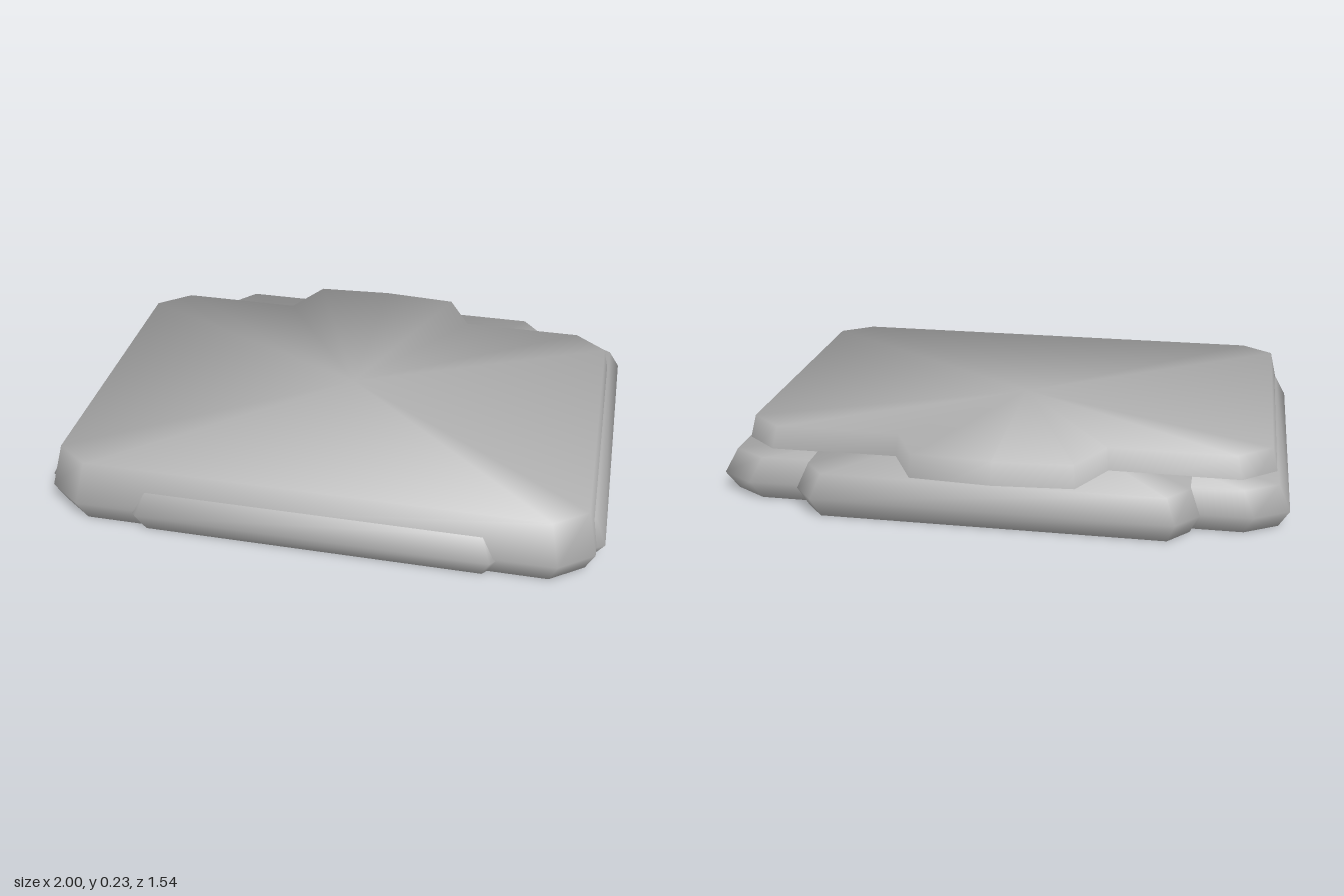
import * as THREE from 'three';

// Right half of an outline, listed front to back as [x, z]; mirrored to close it
function mirrorOutline(half) {
  const left = half.filter(([x]) => x > 0).map(([x, z]) => [-x, z]).reverse();
  return [...half, ...left];
}

// Slab lofted from inset rings [y, inset, normal tilt], softly shaded across its rims
function slab(outline, rings) {
  const n = outline.length;
  const halfX = Math.max(...outline.map((p) => Math.abs(p[0])));
  const halfZ = Math.max(...outline.map((p) => Math.abs(p[1])));
  const edge = (i) => {
    const a = outline[(i + n) % n], b = outline[(i + 1) % n];
    return new THREE.Vector2(a[1] - b[1], b[0] - a[0]).normalize();
  };
  const positions = [], normals = [], index = [];
  for (const [y, inset, tilt] of rings) {
    outline.forEach(([x, z], i) => {
      const out = edge(i - 1).add(edge(i)).normalize();
      positions.push(x * (1 - inset / halfX), y, z * (1 - inset / halfZ));
      normals.push(out.x * Math.cos(tilt), Math.sin(tilt), out.y * Math.cos(tilt));
    });
  }
  // Centres of the bottom and top caps
  const last = rings.length - 1, bottom = n * rings.length, top = bottom + 1;
  positions.push(0, rings[0][0], 0, 0, rings[last][0], 0);
  normals.push(0, -1, 0, 0, 1, 0);
  for (let i = 0; i < n; i++) {
    const j = (i + 1) % n;
    for (let r = 0; r < last; r++) {
      const a = r * n + i, b = r * n + j;
      index.push(a, b, b + n, a, b + n, a + n);
    }
    index.push(bottom, j, i, top, last * n + i, last * n + j);
  }
  const geometry = new THREE.BufferGeometry();
  geometry.setAttribute('position', new THREE.Float32BufferAttribute(positions, 3));
  geometry.setAttribute('normal', new THREE.Float32BufferAttribute(normals, 3));
  geometry.setIndex(index);
  return geometry;
}

export function createModel() {
  const grey = new THREE.MeshStandardMaterial({ color: 0xb0b0b0 });
  grey.name = 'grey';
  const group = new THREE.Group();
  const q = Math.PI / 4;

  const add = (name, half, rings) => {
    const mesh = new THREE.Mesh(slab(mirrorOutline(half), rings), grey);
    mesh.name = name;
    group.add(mesh);
  };

  // Tall upper plate with a tapered tab at the back
  add('upperPlate',
    [[0.85, 0.75], [0.97, 0.66], [0.97, -0.45], [0.85, -0.55], [0.385, -0.55], [0.29, -0.73], [0, -0.75]],
    [[0.001, 0.03, -q], [0.08, 0, 0], [0.235, 0.035, q]]);

  // Low plate running the full depth
  add('longPlate',
    [[0.625, 0.768], [0.7, 0.68], [0.7, -0.68], [0.625, -0.768]],
    [[0, 0.03, -q], [0.072, 0, 0], [0.155, 0.035, q]]);

  // Low plate running the full width
  add('widePlate',
    [[0.88, 0.665], [1, 0.59], [1, -0.59], [0.88, -0.665]],
    [[0.002, 0.035, -q], [0.072, 0, 0], [0.153, 0.04, q]]);

  return group;
}
